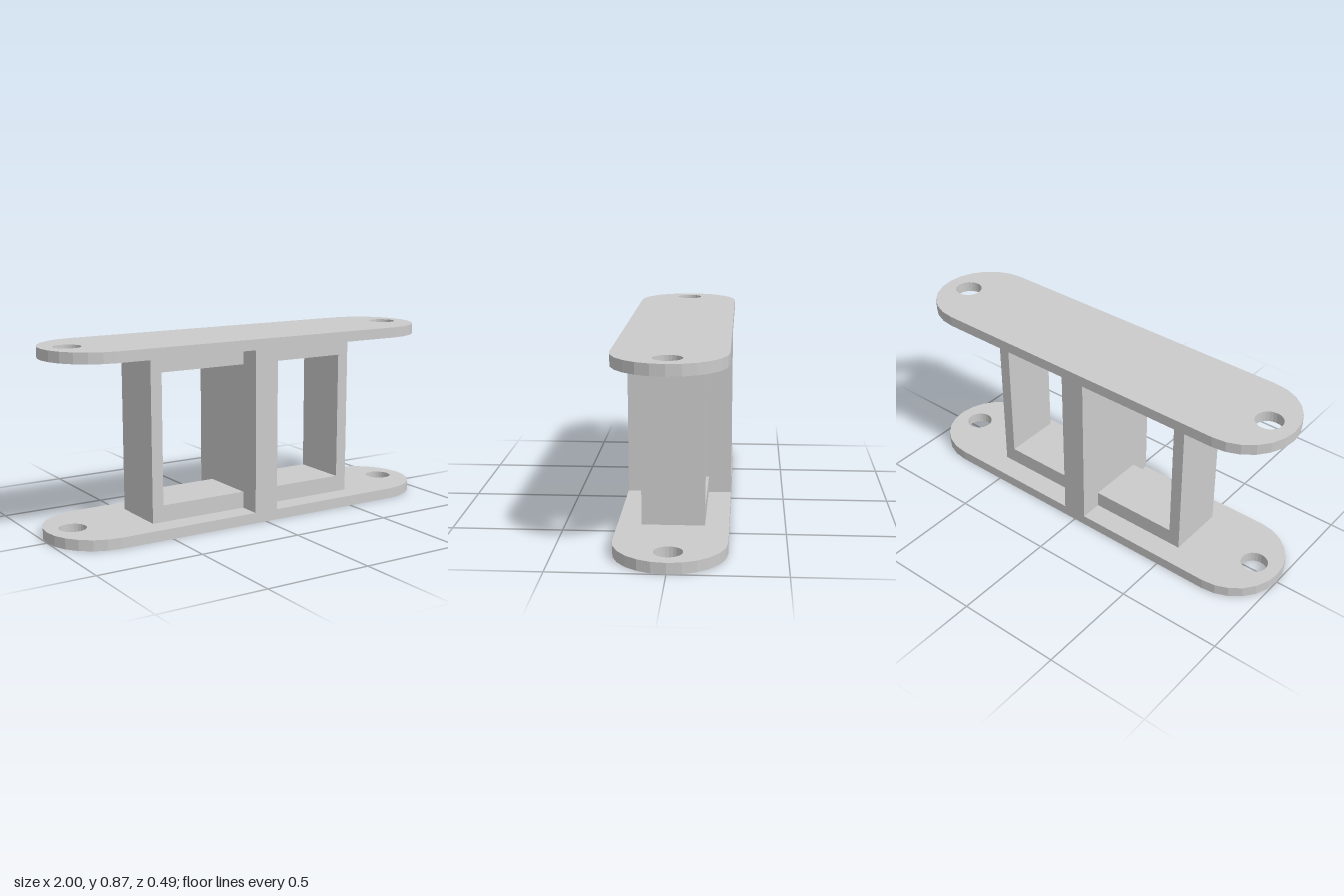
import * as THREE from 'three';

const HEIGHT = 0.865, PLATE = 0.05, HALF_DEPTH = 0.247;
const END_X = 1 - HALF_DEPTH, HOLE_X = 0.875, HOLE_R = 0.063;

// Points along a circular arc in equal steps
function arc(cx, r, start, sweep, steps) {
  return Array.from({ length: steps + 1 }, (_, i) => {
    const a = start + (sweep * i) / steps;
    return new THREE.Vector2(cx + r * Math.cos(a), r * Math.sin(a));
  });
}

export function createModel() {
  const model = new THREE.Group();
  model.name = 'doublePlateLink';
  const material = new THREE.MeshStandardMaterial({ color: 0xcccccc, flatShading: true });

  const add = (name, geometry, x, y, z) => {
    const mesh = new THREE.Mesh(geometry, material);
    mesh.name = name;
    mesh.position.set(x, y, z);
    model.add(mesh);
  };

  // Round-ended plates with a bolt hole at each end
  const outline = new THREE.Shape([
    ...arc(END_X, HALF_DEPTH, -Math.PI / 2, Math.PI, 12),
    ...arc(-END_X, HALF_DEPTH, Math.PI / 2, Math.PI, 12),
  ]);
  for (const side of [-1, 1]) {
    outline.holes.push(new THREE.Path(arc(side * HOLE_X, HOLE_R, 0, Math.PI * 2, 24).slice(0, -1)));
  }
  const plate = new THREE.ExtrudeGeometry(outline, { depth: PLATE, bevelEnabled: false });
  plate.rotateX(-Math.PI / 2);
  add('bottomPlate', plate, 0, 0, 0);
  add('topPlate', plate, 0, HEIGHT - PLATE, 0);

  // Full-depth web between the plates
  const inner = HEIGHT - 2 * PLATE, webHalf = 0.06;
  add('centreWeb', new THREE.BoxGeometry(2 * webHalf, inner, 2 * HALF_DEPTH), 0, HEIGHT / 2, 0);

  // Narrower C-shaped frame on each side of the web
  const outerX = 0.545, openX = 0.49, low = 0.128, high = HEIGHT - low, frameDepth = 0.281;
  for (const side of [-1, 1]) {
    const frame = new THREE.Shape([
      [webHalf, PLATE], [outerX, PLATE], [outerX, HEIGHT - PLATE], [webHalf, HEIGHT - PLATE],
      [webHalf, high], [openX, high], [openX, low], [webHalf, low],
    ].map(([x, y]) => new THREE.Vector2(side * x, y)));
    const geometry = new THREE.ExtrudeGeometry(frame, { depth: frameDepth, bevelEnabled: false });
    add(side > 0 ? 'leftFrame' : 'rightFrame', geometry, 0, 0, -frameDepth / 2);
  }
  return model;
}
